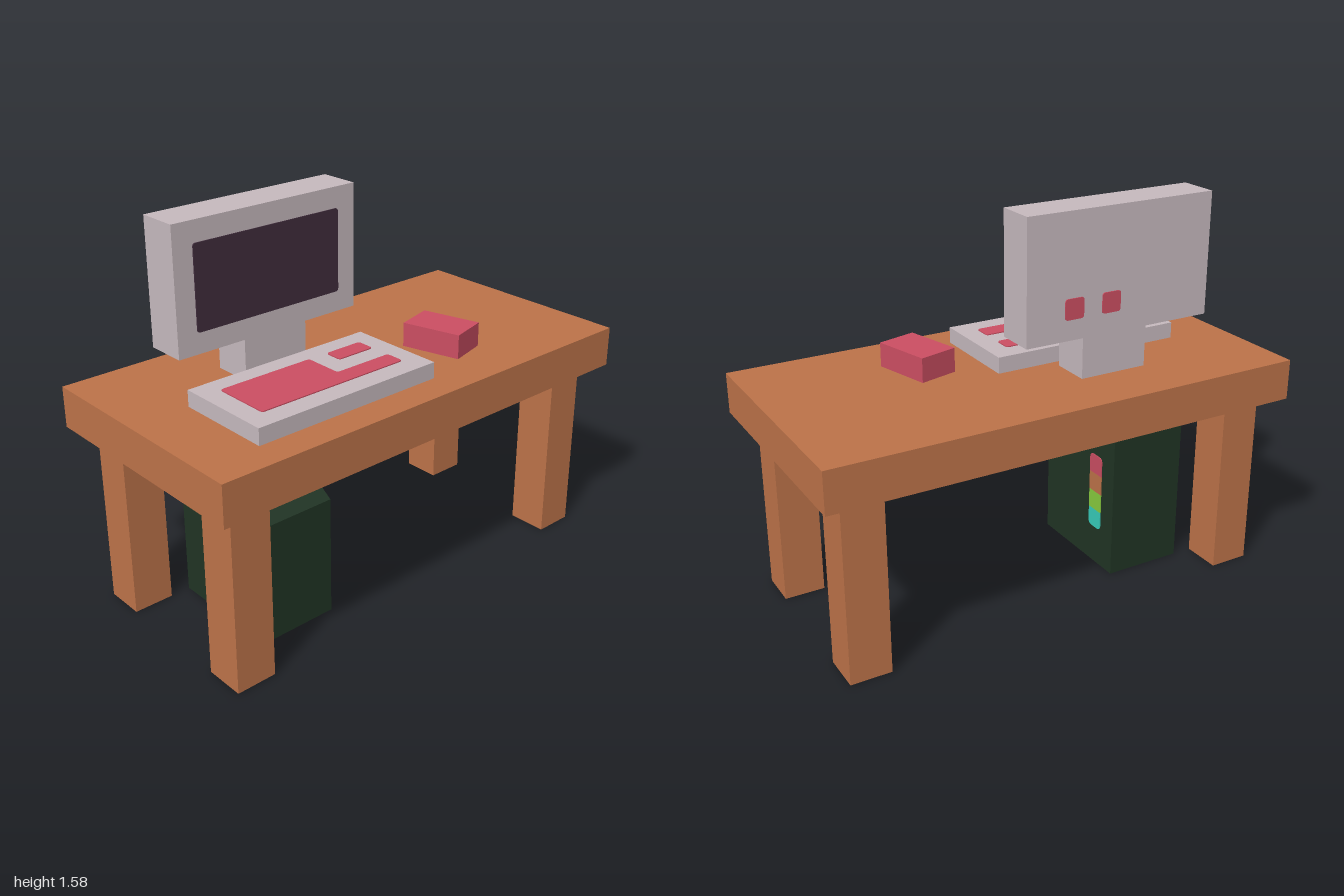
import * as THREE from 'three';

// Dimensions are in desk units; twelve units make one world unit.
const UNIT = 1 / 12;
const THIN = 0.05;

const mat = (name, color) => {
  const m = new THREE.MeshStandardMaterial({ color });
  m.name = name;
  return m;
};

// Flat polygon with optionally rounded corners; each point is [x, y, radius]
function outline(points) {
  const shape = new THREE.Shape();
  const n = points.length;
  points.forEach(([x, y, r = 0], i) => {
    const toward = ([px, py]) => {
      const d = Math.hypot(px - x, py - y);
      return [x + ((px - x) * r) / d, y + ((py - y) * r) / d];
    };
    const start = toward(points[(i + n - 1) % n]);
    const end = toward(points[(i + 1) % n]);
    if (i === 0) shape.moveTo(...start);
    else shape.lineTo(...start);
    if (r > 0) shape.quadraticCurveTo(x, y, ...end);
  });
  shape.closePath();
  return shape;
}

const rect = (x0, x1, y0, y1, bottom = 0.15, top = bottom) =>
  [[x0, y0, bottom], [x1, y0, bottom], [x1, y1, top], [x0, y1, top]];

export function createModel() {
  const wood = mat('wood', 0xbd7349);
  const casing = mat('casing grey', 0xc6b9be);
  const screenDark = mat('screen dark', 0x412d3d);
  const red = mat('red', 0xcb4e62);
  const darkGreen = mat('tower green', 0x203424);
  const lime = mat('lime', 0x87cb3e);
  const teal = mat('teal', 0x37ccba);

  const root = new THREE.Group();
  root.name = 'computerDesk';
  const model = new THREE.Group();
  model.name = 'parts';
  model.scale.setScalar(UNIT);
  root.add(model);

  // Box given by its extents
  const box = (name, material, [x0, x1], [y0, y1], [z0, z1]) => {
    const mesh = new THREE.Mesh(new THREE.BoxGeometry(x1 - x0, y1 - y0, z1 - z0), material);
    mesh.position.set((x0 + x1) / 2, (y0 + y1) / 2, (z0 + z1) / 2);
    mesh.name = name;
    model.add(mesh);
    return mesh;
  };

  // Extruded outline, turned and moved into place
  const slab = (name, material, points, depth, position, rx = 0, ry = 0) => {
    const geometry = new THREE.ExtrudeGeometry(outline(points), {
      depth, bevelEnabled: false, curveSegments: 4,
    });
    const mesh = new THREE.Mesh(geometry, material);
    mesh.rotation.set(rx, ry, 0);
    mesh.position.set(...position);
    mesh.name = name;
    model.add(mesh);
    return mesh;
  };

  // Desk
  box('deskTop', wood, [-12, 12], [9, 11], [-6, 6]);
  for (const sx of [-1, 1]) {
    for (const sz of [-1, 1]) {
      const leg = box(`${sz > 0 ? 'front' : 'back'}${sx > 0 ? 'Left' : 'Right'}Leg`,
        wood, [-1, 1], [0, 9], [-1, 1]);
      leg.position.x = sx * 10;
      leg.position.z = sz * 4;
    }
  }

  // Monitor with stand, screen and rear sockets
  box('monitorCasing', casing, [-9, 1], [13, 19], [-3, -1]);
  box('monitorStand', casing, [-5.5, -2], [11, 13], [-3, -1]);
  slab('screen', screenDark, rect(-8, 0, 14, 18), THIN, [0, 0, -1]);
  for (const x of [-3.5, -1.5]) {
    slab('rearSocket', red, rect(-0.5, 0.5, 14, 15), THIN, [x, 0, -3], 0, Math.PI);
  }

  // Keyboard with a raised main key block and a small key block
  box('keyboard', casing, [-9, 1], [11, 11.8], [-0.5, 4.45]);
  const r = 0.15;
  slab('mainKeys', red, [
    [-8, -3.4, r], [0, -3.4, r], [0, -2.45, r], [-3.05, -2.45, r], [-3.05, -0.5, r], [-8, -0.5, r],
  ], THIN, [0, 11.8, 0], -Math.PI / 2);
  slab('smallKeys', red, rect(-2, 0, -1.4, -0.5), THIN, [0, 11.8, 0], -Math.PI / 2);

  // Mouse, turned slightly on the desk
  const mouse = box('mouse', red, [-1, 1], [11, 12.2], [-1.5, 1.5]);
  mouse.position.x = 4;
  mouse.position.z = 1.96;
  mouse.rotation.y = Math.PI / 12;

  // Computer tower with sloped front top
  slab('tower', darkGreen, [[-3, 0], [3, 0], [3, 8], [0, 8], [-3, 6]], 4,
    [-8, 0, 0], 0, Math.PI / 2);

  // Coloured strip on the tower side, rounded at both ends
  [teal, lime, wood, red].forEach((material, i) => {
    slab('towerStripe', material,
      rect(1, 2, 2 + i, 3 + i, i === 0 ? 0.25 : 0, i === 3 ? 0.25 : 0),
      THIN, [-4, 0, 0], 0, Math.PI / 2);
  });

  return root;
}
